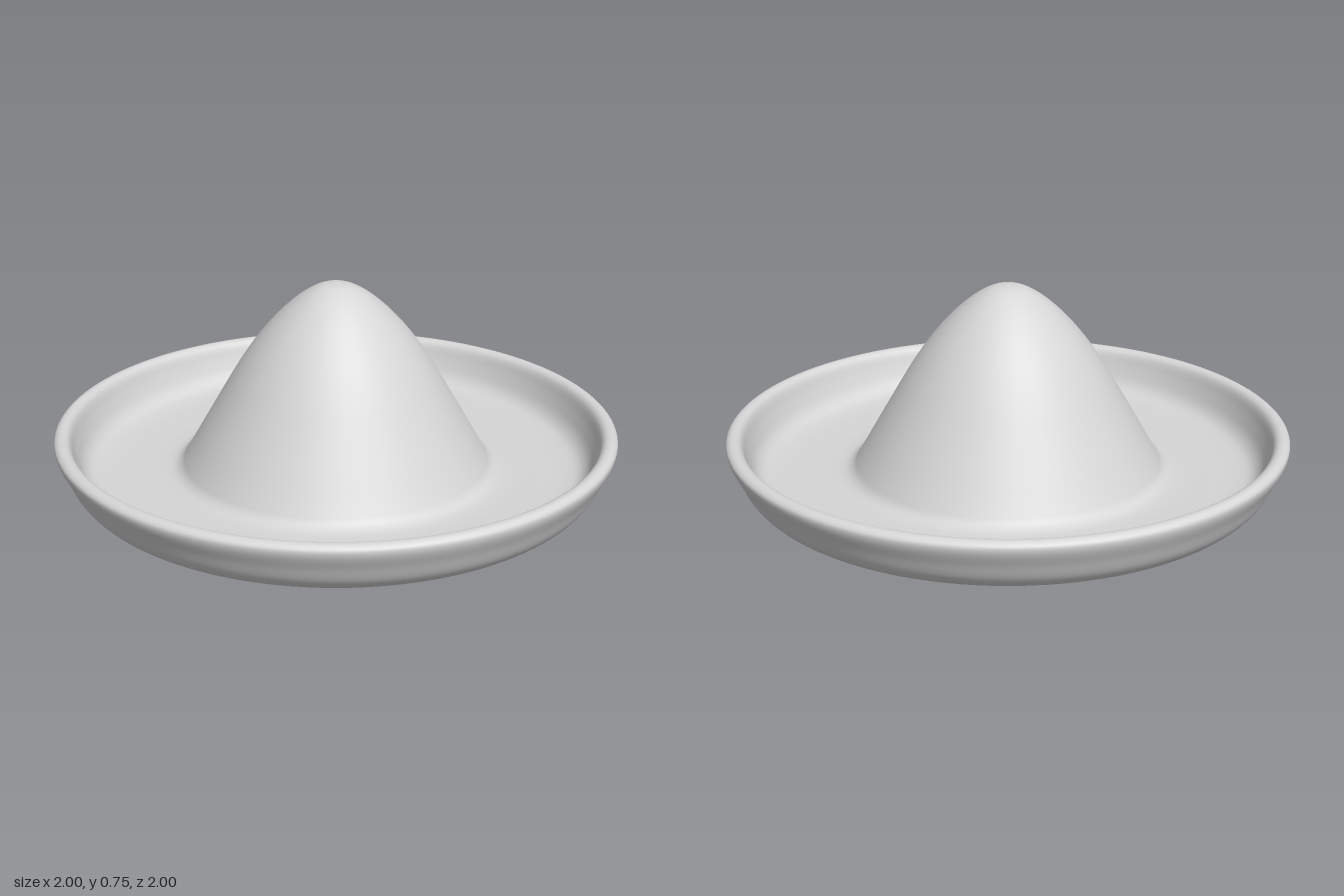
import * as THREE from 'three';

const stone = new THREE.MeshStandardMaterial({ color: 0xd6d6d6, side: THREE.DoubleSide });
stone.name = 'light grey';

function add(group, name, geometry) {
  const mesh = new THREE.Mesh(geometry, stone);
  mesh.name = name;
  group.add(mesh);
}

function squarePath(PathType, side) {
  const h = side / 2;
  return new PathType([[-h, -h], [h, -h], [h, h], [-h, h]].map(([x, y]) => new THREE.Vector2(x, y)));
}

// Horizontal face looking down, with an optional square opening
function downFace(shape, y, holeSide) {
  if (holeSide) shape.holes.push(squarePath(THREE.Path, holeSide));
  return new THREE.ShapeGeometry(shape, 96).rotateX(Math.PI / 2).translate(0, y, 0);
}

// Four upright walls of a square pocket
function pocketWalls(side, y0, y1) {
  const r = side / Math.SQRT2;
  const g = new THREE.CylinderGeometry(r, r, y1 - y0, 4, 1, true).toNonIndexed();
  g.computeVertexNormals();
  return g.rotateY(Math.PI / 4).translate(0, (y0 + y1) / 2, 0);
}

export function createModel() {
  const hat = new THREE.Group();
  hat.name = 'wideBrimmedHat';

  // Brim underside, turned-up lip, brim floor and crown in one smooth sweep
  const profile = [
    [0.5, 0.057], [0.535, 0.04], [0.58, 0.018], [0.64, 0.004], [0.72, 0.003], [0.82, 0.018],
    [0.9, 0.047], [0.94, 0.085], [0.97, 0.145], [0.996, 0.2], [0.997, 0.222],
    [0.982, 0.235], [0.96, 0.235], [0.944, 0.222], [0.925, 0.17], [0.9, 0.116],
    [0.87, 0.089], [0.82, 0.078], [0.72, 0.074], [0.63, 0.073], [0.58, 0.079],
    [0.555, 0.095], [0.535, 0.125], [0.47, 0.238], [0.41, 0.342], [0.35, 0.444],
    [0.29, 0.534], [0.23, 0.609], [0.16, 0.679], [0.1, 0.724], [0.05, 0.748], [0, 0.755],
  ].map(([x, y]) => new THREE.Vector3(x, y, 0));
  const points = new THREE.CatmullRomCurve3(profile).getPoints(150)
    .map((p) => new THREE.Vector2(Math.max(p.x, 0), Math.max(p.y, 0)));
  add(hat, 'brimAndCrown', new THREE.LatheGeometry(points, 128));

  // Recessed flat base with a stepped square socket, slightly off centre
  const base = new THREE.Group();
  base.name = 'base';
  base.position.set(0.01, 0, -0.01);
  const disc = new THREE.Shape().absarc(0, 0, 0.505, 0, Math.PI * 2);
  add(base, 'basePlate', downFace(disc, 0.057, 0.33));
  add(base, 'socketWalls', pocketWalls(0.33, 0.057, 0.255));
  add(base, 'socketLedge', downFace(squarePath(THREE.Shape, 0.33), 0.255, 0.27));
  add(base, 'innerSocketWalls', pocketWalls(0.27, 0.255, 0.34));
  add(base, 'innerSocketCeiling', downFace(squarePath(THREE.Shape, 0.27), 0.34));
  hat.add(base);

  return hat;
}
